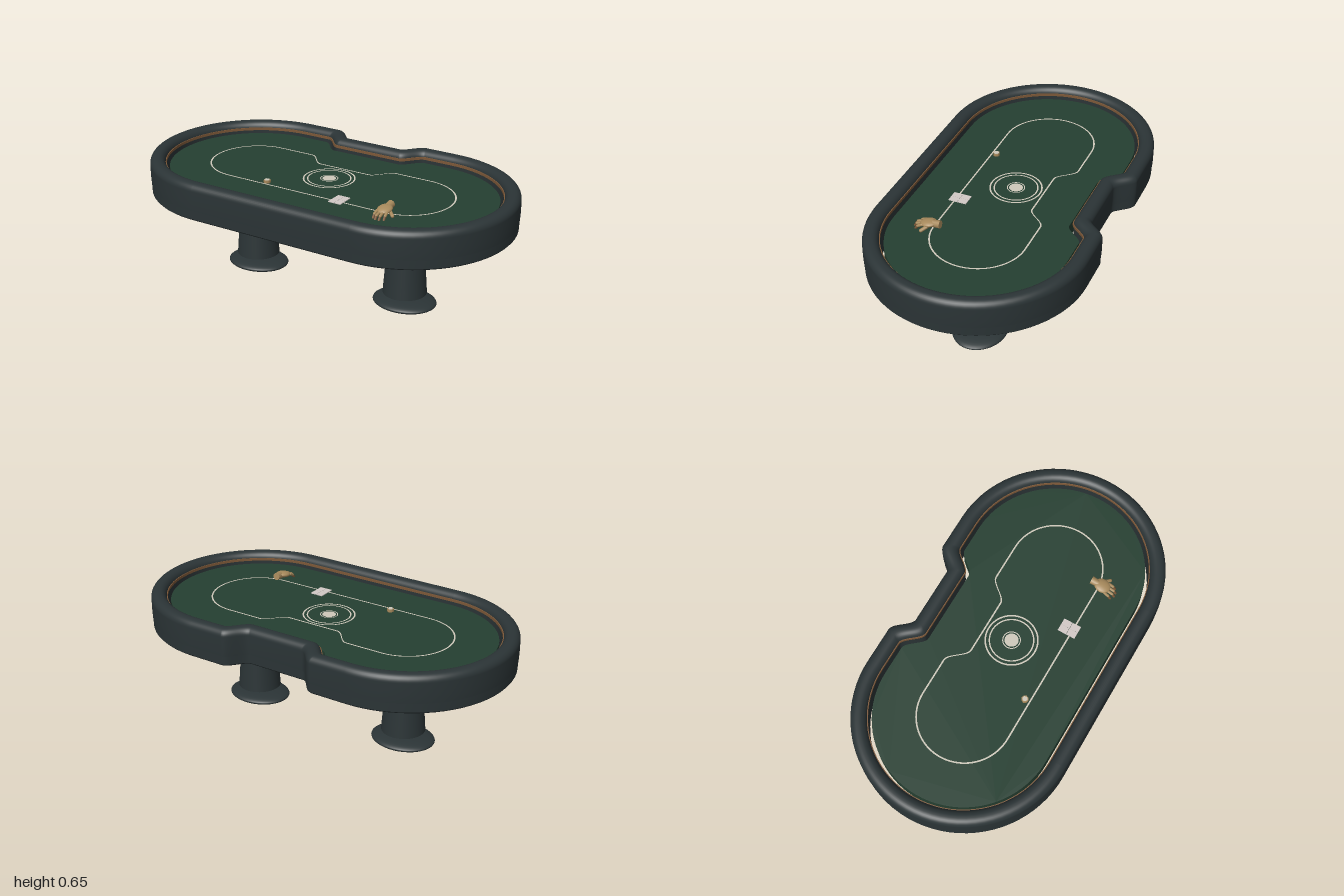
import * as THREE from 'three';

const mat = (name, color, side = THREE.FrontSide) => {
  const m = new THREE.MeshStandardMaterial({ color, side });
  m.name = name;
  return m;
};

const FELT_Y = 0.595;

// Rounded-end table outline of end radius R, with a dealer recess in the back (-z).
// Returns [x, z] points; every R gives the same number of points.
function outline(R, shift = 0) {
  const half = [];
  const S = 14;
  for (let i = 0; i <= S; i++) {
    const t = i / S, ease = t * t * (3 - 2 * t);
    half.push([0.15 + shift + 0.11 * t, -R + 0.09 * (1 - ease)]);
  }
  const A = 40;
  for (let i = 0; i <= A; i++) {
    const a = -Math.PI / 2 + (Math.PI * i) / A;
    half.push([0.45 + R * Math.cos(a), R * Math.sin(a)]);
  }
  return half.concat(half.slice().reverse().map(([x, z]) => [-x, z]));
}

// Sweep a profile of [R, y] points round the table outline.
function sweep(profile, shiftOf = (R) => 0.45 * Math.min(0.55 - R, 0.1)) {
  const pos = [], index = [];
  let n = 0;
  for (const [R, y] of profile) {
    const ring = outline(R, shiftOf(R));
    n = ring.length;
    for (const [x, z] of ring) pos.push(x, y, z);
  }
  for (let i = 0; i < profile.length - 1; i++) {
    for (let j = 0; j < n; j++) {
      const k = (j + 1) % n;
      const a = i * n + j, b = i * n + k;
      index.push(a, a + n, b, b, a + n, b + n);
    }
  }
  const g = new THREE.BufferGeometry();
  g.setAttribute('position', new THREE.Float32BufferAttribute(pos, 3));
  g.setIndex(index);
  g.computeVertexNormals();
  return g;
}

export function createModel() {
  const dark = mat('charcoal leather', 0x2b3436);
  const green = mat('green felt', 0x253f31, THREE.DoubleSide);
  const cream = mat('cream print', 0xcfc9bb, THREE.DoubleSide);
  const wood = mat('brown wood', 0x7c5838);
  const skin = mat('tan', 0xa88a5c);
  const card = mat('card white', 0xd2cac6);

  const model = new THREE.Group();
  const add = (name, geo, material, x = 0, y = 0, z = 0, parent = model) => {
    const m = new THREE.Mesh(geo, material);
    m.name = name;
    m.position.set(x, y, z);
    parent.add(m);
    return m;
  };

  // Padded armrest: straight sides, rounded top
  const r = 0.036, cushion = [[0.548, 0.51], [0.55, 0.55]];
  for (let i = 0; i <= 8; i++) {
    const a = (Math.PI / 2) * (i / 8);
    cushion.push([0.55 - r + r * Math.cos(a), 0.65 - r + r * Math.sin(a)]);
  }
  for (let i = 0; i <= 8; i++) {
    const a = (Math.PI / 2) * (1 + i / 8);
    cushion.push([0.47 + r + r * Math.cos(a), 0.65 - r + r * Math.sin(a)]);
  }
  cushion.push([0.47, 0.51], [0.47, 0.51], [0.548, 0.51]);
  add('armrest', sweep(cushion), dark);

  // Lower rail with a small bevel at its foot
  add('lowerRail', sweep([
    [0.54, 0.459], [0.546, 0.466], [0.546, 0.466], [0.547, 0.51], [0.547, 0.51],
    [0.472, 0.51], [0.472, 0.51], [0.472, 0.459], [0.472, 0.459], [0.54, 0.459],
  ]), dark);

  // Thin wooden trim inside the armrest
  add('innerTrim', sweep([
    [0.471, 0.62], [0.466, 0.62], [0.466, 0.62], [0.466, 0.606], [0.466, 0.606], [0.471, 0.606],
  ]), wood);

  // Felt sheet and its skirt
  const feltShape = new THREE.Shape(outline(0.45, 0.045).map(([x, z]) => new THREE.Vector2(x, -z)));
  add('feltTop', new THREE.ShapeGeometry(feltShape).rotateX(-Math.PI / 2), green, 0, FELT_Y, 0);
  add('feltSkirt', sweep([[0.45, 0.52], [0.45, FELT_Y]]), green);

  // Printed betting line and centre emblem
  const printY = FELT_Y + 0.002;
  add('bettingLine', sweep([[0.24, printY], [0.232, printY]], () => -0.005), cream);
  const ring = (name, inner, outer) =>
    add(name, new THREE.RingGeometry(inner, outer, 64).rotateX(-Math.PI / 2), cream, 0, printY, 0);
  ring('outerCircle', 0.126, 0.134);
  ring('innerCircle', 0.106, 0.113);
  ring('emblemRing', 0.041, 0.046);
  add('emblemDisc', new THREE.CircleGeometry(0.035, 40).rotateX(-Math.PI / 2), cream, 0, printY, 0);

  // Two tapered pedestals on oval feet
  for (const s of [-1, 1]) {
    const side = s > 0 ? 'left' : 'right';
    add(side + 'Pedestal', new THREE.CylinderGeometry(0.073, 0.112, 0.51, 40), dark, s * 0.45, 0.335, 0);
    add(side + 'Foot', new THREE.SphereGeometry(1, 40, 20).scale(0.168, 0.029, 0.139), dark, s * 0.45, 0.03, 0);
  }

  // Four cards laid in a block
  for (const i of [-1, 1]) for (const j of [-1, 1]) {
    add('card', new THREE.BoxGeometry(0.034, 0.004, 0.046), card, 0.195 + i * 0.0178, FELT_Y + 0.003, 0.218 + j * 0.0238);
  }

  // Dealer chip with wooden edge
  add('chipEdge', new THREE.CylinderGeometry(0.018, 0.018, 0.014, 8), skin, -0.235, FELT_Y + 0.007, 0.21);
  add('chipFace', new THREE.CylinderGeometry(0.013, 0.013, 0.003, 8), cream, -0.235, FELT_Y + 0.0155, 0.21);

  // Resting hand: cuff, palm, curled fingers and thumb
  const hand = new THREE.Group();
  hand.name = 'hand';
  hand.position.set(0.468, FELT_Y, 0.25);
  model.add(hand);
  const bone = (name, a, b, rad, material) => {
    const p = new THREE.Vector3(...a), q = new THREE.Vector3(...b);
    const m = add(name, new THREE.CapsuleGeometry(rad, p.distanceTo(q), 4, 8), material, 0, 0, 0, hand);
    m.position.copy(p).lerp(q, 0.5);
    m.quaternion.setFromUnitVectors(new THREE.Vector3(0, 1, 0), q.sub(p).normalize());
  };
  const wrist = add('wrist', new THREE.CylinderGeometry(0.018, 0.02, 0.04, 10).rotateX(Math.PI / 2), skin, 0, 0.033, -0.038, hand);
  wrist.rotation.x = 0.1;
  const palm = add('palm', new THREE.SphereGeometry(1, 16, 10).scale(0.037, 0.016, 0.044), skin, 0, 0.03, 0.004, hand);
  palm.rotation.x = 0.15;
  for (let i = 0; i < 4; i++) {
    const x = -0.027 + i * 0.018;
    const len = [0.064, 0.077, 0.075, 0.062][i];
    bone('finger', [x, 0.026, 0.03], [x * 1.05, 0.016, len - 0.012], 0.0075, skin);
    bone('fingertip', [x * 1.05, 0.014, len - 0.01], [x * 1.05, -0.002, len], 0.0065, wood);
  }
  bone('thumb', [0.026, 0.024, 0.0], [0.052, 0.012, 0.022], 0.009, skin);

  return model;
}
